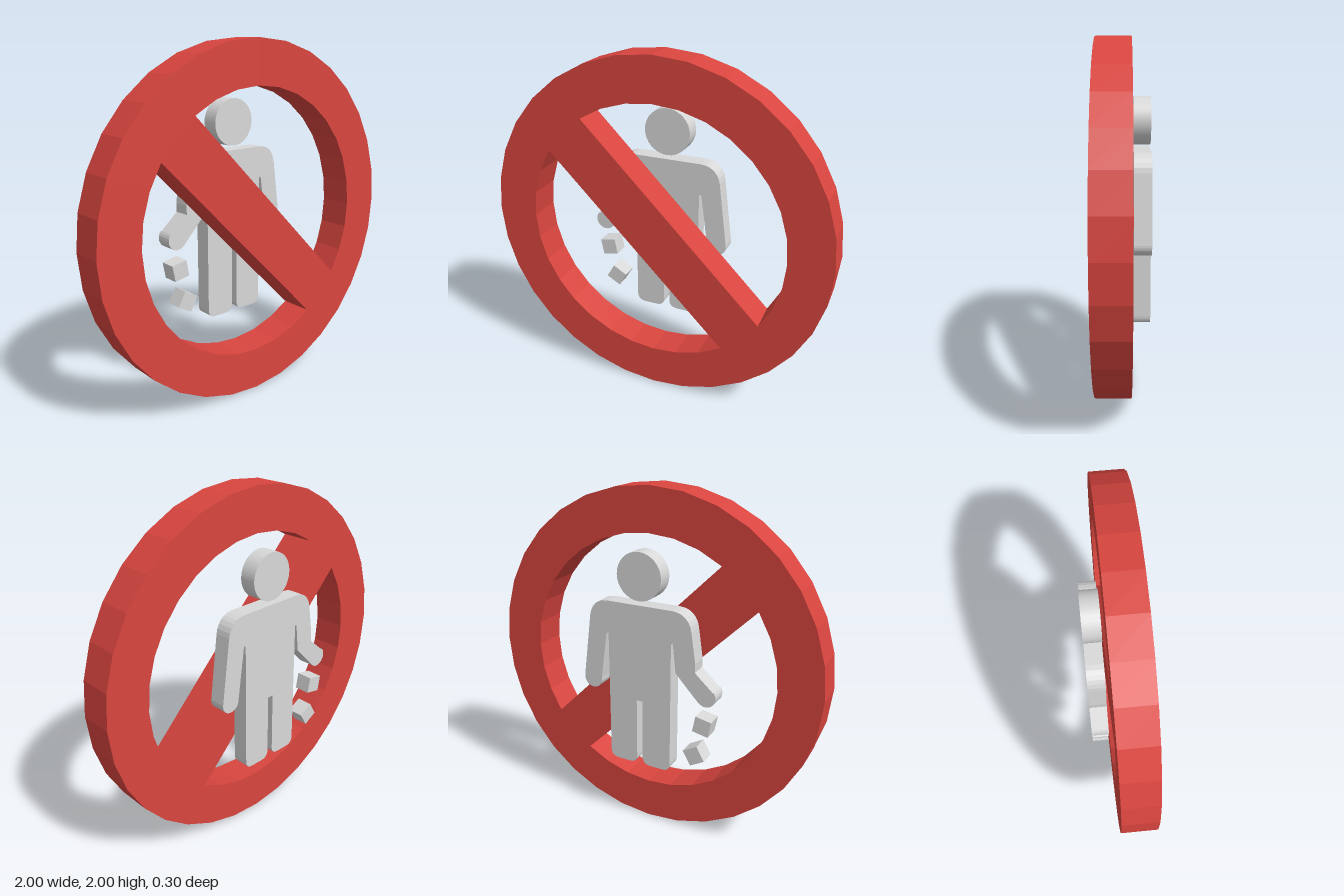
import * as THREE from 'three';

const red = new THREE.MeshStandardMaterial({ color: 0xd9453f });
red.name = 'signRed';
const grey = new THREE.MeshStandardMaterial({ color: 0xd8d8d8 });
grey.name = 'figureGrey';

const FIGURE_BACK = -0.15, FIGURE_DEPTH = 0.095;

// Extrudes a flat outline from zBack towards +z
function plate(name, shape, zBack, depth, material) {
  const geometry = new THREE.ExtrudeGeometry(shape, { depth, bevelEnabled: false, curveSegments: 6 });
  geometry.translate(0, 0, zBack);
  const mesh = new THREE.Mesh(geometry, material);
  mesh.name = name;
  return mesh;
}

// Points on a circle round the sign's centre, counted in 32nds of a turn
function arc(radius, from, to) {
  const points = [];
  for (let i = from; i <= to; i++) {
    const a = (i * Math.PI) / 16;
    points.push(new THREE.Vector2(radius * Math.cos(a), 1 + radius * Math.sin(a)));
  }
  return points;
}

// Ring with diagonal bar: a disc with two segment-shaped holes
function signShape() {
  const shape = new THREE.Shape(arc(1, 0, 31));
  shape.holes.push(new THREE.Path(arc(0.755, -3, 11)), new THREE.Path(arc(0.755, 13, 27)));
  return shape;
}

// Torso, arms and legs in one outline, anticlockwise from the collar
function bodyShape() {
  const s = new THREE.Shape();
  s.moveTo(0.2, 1.39);
  s.lineTo(-0.2, 1.39);
  // bent arm, dropping litter
  s.bezierCurveTo(-0.26, 1.39, -0.302, 1.35, -0.31, 1.29);
  s.lineTo(-0.336, 1.12);
  s.lineTo(-0.335, 1.07);
  s.lineTo(-0.442, 0.975);
  s.absarc(-0.4, 0.942, 0.058, 2.4, 5.45, false);
  s.lineTo(-0.222, 1.045);
  s.lineTo(-0.205, 1.2);
  s.lineTo(-0.2, 1.215);
  s.lineTo(-0.193, 1.205);
  // legs
  for (const [outer, inner] of [[-0.193, -0.018], [0.018, 0.193]]) {
    s.lineTo(outer, outer < 0 ? 0.48 : 0.83);
    s.lineTo(outer, 0.475);
    s.quadraticCurveTo(outer, 0.425, outer + 0.05, 0.425);
    s.lineTo(inner - 0.05, 0.425);
    s.quadraticCurveTo(inner, 0.425, inner, 0.475);
    s.lineTo(inner, outer < 0 ? 0.83 : 1.205);
  }
  // straight arm
  s.lineTo(0.2, 1.215);
  s.lineTo(0.207, 1.2);
  s.lineTo(0.247, 0.92);
  s.absarc(0.304, 0.911, 0.057, 3.3, 6.4, false);
  s.lineTo(0.31, 1.29);
  s.bezierCurveTo(0.302, 1.35, 0.26, 1.39, 0.2, 1.39);
  return s;
}

export function createModel() {
  const model = new THREE.Group();
  model.name = 'noLitteringSign';

  model.add(plate('ringAndBar', signShape(), -0.043, 0.193, red));

  const figure = new THREE.Group();
  figure.name = 'figure';
  figure.add(plate('body', bodyShape(), FIGURE_BACK, FIGURE_DEPTH, grey));
  const headGeometry = new THREE.CylinderGeometry(0.132, 0.132, FIGURE_DEPTH, 32);
  headGeometry.rotateX(Math.PI / 2);
  const head = new THREE.Mesh(headGeometry, grey);
  head.name = 'head';
  head.position.set(0, 1.546, FIGURE_BACK + FIGURE_DEPTH / 2);
  figure.add(head);
  model.add(figure);

  // Falling litter
  [[-0.383, 0.76, 0.19], [-0.339, 0.567, -0.52]].forEach(([x, y, turn], i) => {
    const cube = new THREE.Mesh(new THREE.BoxGeometry(0.095, 0.095, FIGURE_DEPTH), grey);
    cube.name = `litter${i + 1}`;
    cube.position.set(x, y, FIGURE_BACK + FIGURE_DEPTH / 2);
    cube.rotation.z = turn;
    model.add(cube);
  });

  return model;
}
